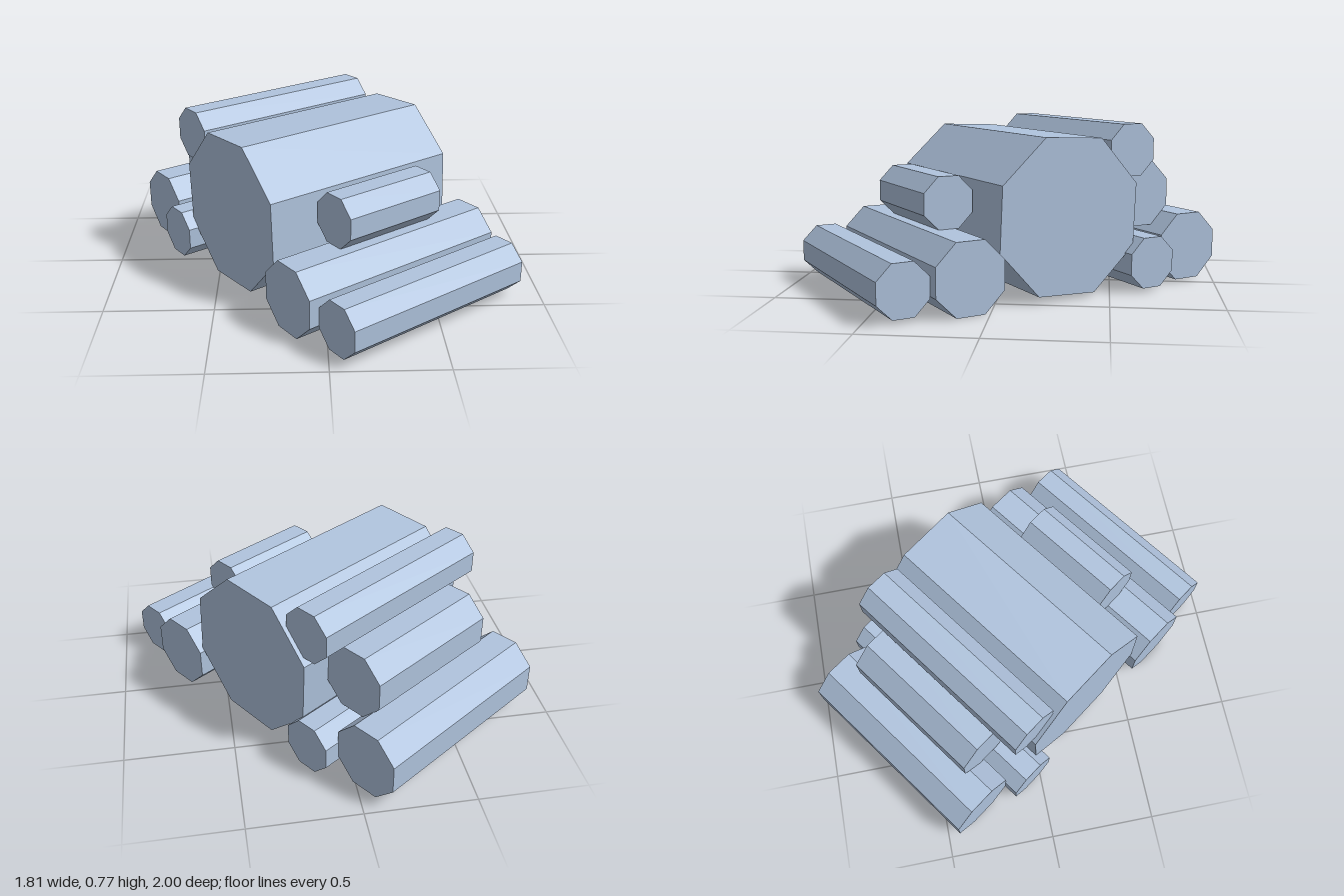
import * as THREE from 'three';

// Pile of octagonal logs, all lying along the same axis.
// across: offset over the pile, y: height of the axis, r: centre to flat side,
// from / to: ends along the axis, roll: turn about the axis
const LOGS = [
  { name: 'mainLog', across: -0.035, y: 0.377, r: 0.35, from: -0.507, to: 0.511, roll: -0.045 },
  { name: 'backLowerLog', across: -0.726, y: 0.175, r: 0.16, from: -0.486, to: 0.484 },
  { name: 'backSmallLog', across: -0.453, y: 0.137, r: 0.118, from: -0.558, to: 0.562 },
  { name: 'backMiddleLog', across: -0.534, y: 0.427, r: 0.155, from: -0.345, to: 0.363 },
  { name: 'backTopLog', across: -0.382, y: 0.655, r: 0.12, from: -0.487, to: 0.49 },
  { name: 'frontLowerLog', across: 0.472, y: 0.163, r: 0.161, from: -0.543, to: 0.535 },
  { name: 'frontSmallLog', across: 0.754, y: 0.137, r: 0.118, from: -0.496, to: 0.485 },
  { name: 'frontTopLog', across: 0.437, y: 0.442, r: 0.118, from: -0.266, to: 0.254 },
];

function makeLog({ name, across, y, r, from, to, roll = 0 }, material) {
  const radius = r / Math.cos(Math.PI / 8);
  const prism = new THREE.CylinderGeometry(radius, radius, to - from, 8, 1, false, Math.PI / 8);
  prism.rotateZ(Math.PI / 2);
  // separate the faces so that every side is flat shaded
  const geometry = prism.toNonIndexed();
  geometry.computeVertexNormals();
  const log = new THREE.Mesh(geometry, material);
  log.name = name;
  log.position.set((from + to) / 2, y, across);
  log.rotation.x = roll;
  return log;
}

export function createModel() {
  const paleBlue = new THREE.MeshStandardMaterial({ color: 0xb0c4de });
  paleBlue.name = 'paleBlue';

  // the whole pile lies diagonally
  const pile = new THREE.Group();
  pile.name = 'logPile';
  pile.rotation.y = 0.618;
  for (const log of LOGS) pile.add(makeLog(log, paleBlue));

  const model = new THREE.Group();
  model.name = 'model';
  model.add(pile);
  return model;
}
